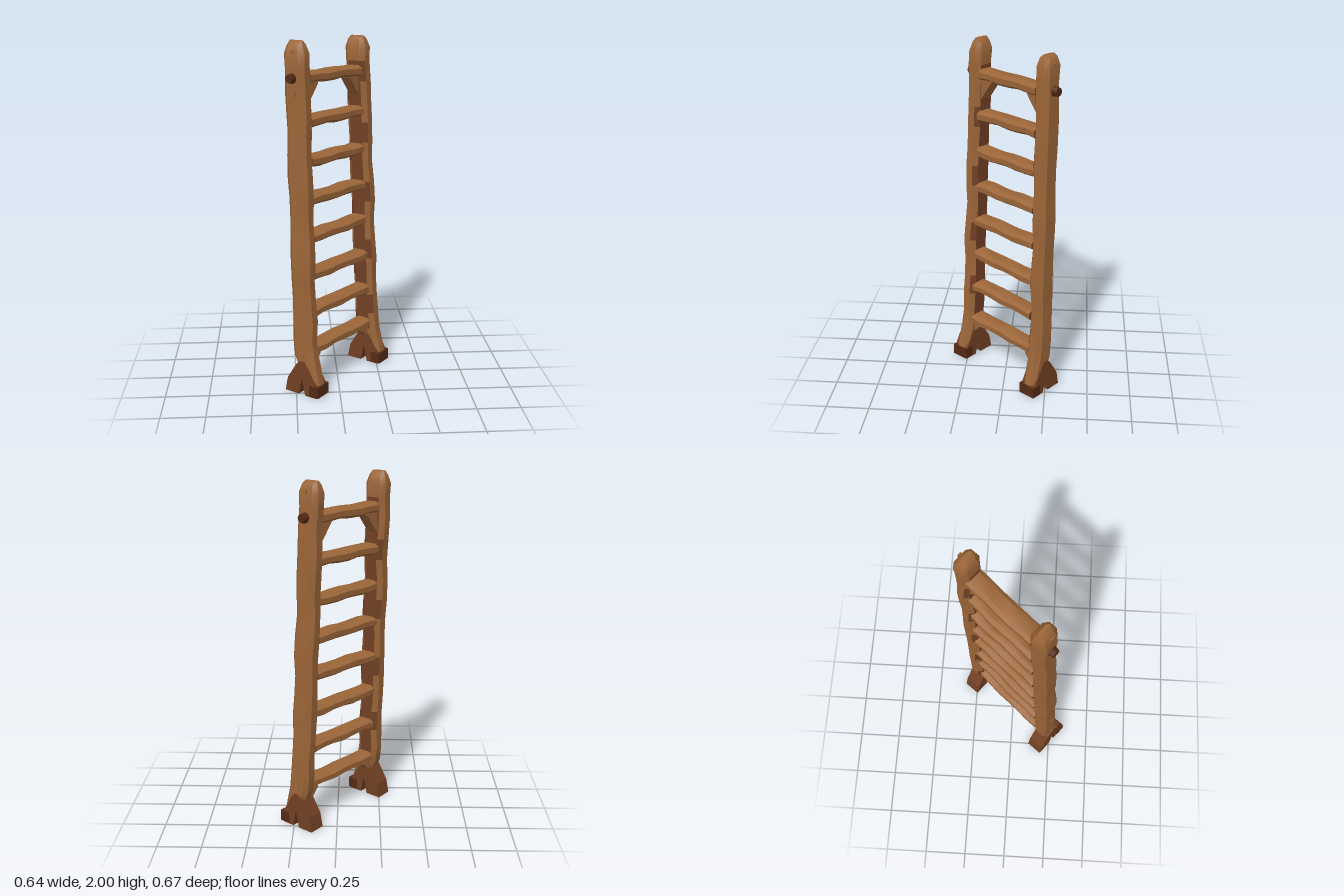
import * as THREE from 'three';
import { toCreasedNormals } from 'three/addons/utils/BufferGeometryUtils.js';

const mat = (name, color) => Object.assign(new THREE.MeshStandardMaterial({ color }), { name });

// chamfered rectangle, corners as fractions of the half sizes
const SECTION = [[1, -0.6], [1, 0.6], [0.5, 1], [-0.5, 1], [-1, 0.6], [-1, -0.6], [-0.5, -1], [0.5, -1]];

// Timber along y from rings [y, cx, cz, halfX, halfZ]; pick(face, ring) gives the material slot
function timber(rings, pick) {
  const n = SECTION.length;
  const slots = [[], []];
  const pts = rings.map(([y, cx, cz, hx, hz]) =>
    SECTION.map(([a, b]) => new THREE.Vector3(cx + a * hx, y, cz + b * hz)));
  const add = (slot, ...vs) => vs.forEach((v) => slots[slot].push(v.x, v.y, v.z));
  for (let i = 0; i < rings.length - 1; i++) {
    for (let j = 0; j < n; j++) {
      const k = (j + 1) % n;
      const slot = pick(j, i);
      add(slot, pts[i][j], pts[i + 1][j], pts[i][k]);
      add(slot, pts[i + 1][j], pts[i + 1][k], pts[i][k]);
    }
  }
  const last = pts[pts.length - 1];
  for (let j = 1; j < n - 1; j++) {
    add(pick(-1, 0), pts[0][0], pts[0][j], pts[0][j + 1]);
    add(pick(-1, 1), last[0], last[j + 1], last[j]);
  }
  const geo = new THREE.BufferGeometry();
  geo.setAttribute('position', new THREE.Float32BufferAttribute([...slots[0], ...slots[1]], 3));
  geo.addGroup(0, slots[0].length / 3, 0);
  geo.addGroup(slots[0].length / 3, slots[1].length / 3, 1);
  return toCreasedNormals(geo, 0.6);
}

// flat shape given by points, extruded and centred on its thickness
function plate(points, depth) {
  const shape = new THREE.Shape(points.map(([x, y]) => new THREE.Vector2(x, y)));
  return new THREE.ExtrudeGeometry(shape, { depth, bevelEnabled: false }).translate(0, 0, -depth / 2);
}

export function createModel() {
  const wood = mat('wood', 0x9c6639);
  const darkWood = mat('dark wood', 0x724024);
  const peg = mat('peg brown', 0x552a16);

  const model = new THREE.Group();
  const ladder = new THREE.Group();
  ladder.name = 'ladder';
  ladder.rotation.y = THREE.MathUtils.degToRad(48);
  model.add(ladder);

  const add = (parent, name, geo, material, x = 0, y = 0, z = 0) => {
    const m = new THREE.Mesh(geo, material);
    m.name = name;
    m.position.set(x, y, z);
    parent.add(m);
    return m;
  };

  // the ladder leans back and narrows slightly toward the top
  const lean = (y) => 0.012 - 0.036 * y;
  const postX = (y) => 0.297 - 0.017 * y;

  for (const s of [-1, 1]) {
    const side = new THREE.Group();
    side.name = s > 0 ? 'leftSide' : 'rightSide';
    side.position.x = s * 0.28;
    side.rotation.y = THREE.MathUtils.degToRad(4);
    ladder.add(side);
    const px = (y) => s * (postX(y) - 0.28);

    // post: splayed toe, wavering shaft, pointed top
    const rings = [
      [0.06, px(0), 0.07, 0.04, 0.048],
      [0.13, px(0.1), 0.045, 0.044, 0.058],
      [0.22, px(0.2), 0.012, 0.046, 0.069],
    ];
    for (let i = 0; i < 14; i++) {
      const y = 0.32 + i * 0.118;
      const w = Math.sin(i * 2.1 + s);
      rings.push([y, px(y) + 0.003 * Math.sin(i * 1.3), lean(y) + 0.003 * w, 0.046 + 0.003 * w, 0.066 + 0.003 * Math.cos(i * 1.7 + s)]);
    }
    rings.push(
      [1.93, px(1.93), lean(1.93), 0.046, 0.068],
      [1.975, px(1.97), lean(1.97), 0.032, 0.052],
      [s < 0 ? 2.0 : 1.993, px(2), lean(2), 0.01, 0.04]);
    const inner = s > 0 ? 4 : 0;
    const ragged = [(inner + 1) % 8, (inner + 7) % 8];
    // dark, ragged inner face
    const pick = (face, i) => {
      if (i < 2 || i > 15) return 0;
      return face === inner || (ragged.includes(face) && (i * 5 + face) % 3 === 0) ? 1 : 0;
    };
    add(side, 'post', timber(rings, pick), [wood, darkWood]);

    // forked foot with a toe block
    const fork = plate([[-0.118, 0], [-0.022, 0], [0, 0.1], [0.022, 0], [0.1, 0], [0.095, 0.07],
      [0.04, 0.17], [0.015, 0.205], [-0.015, 0.205], [-0.04, 0.18], [-0.1, 0.085]], 0.1);
    add(side, 'forkedFoot', fork.rotateY(-Math.PI / 2), darkWood, px(0), 0, 0.012);
    add(side, 'toeBlock', new THREE.BoxGeometry(0.106, 0.065, 0.062), peg, px(0), 0.0375, 0.096);

    // peg through the top of the post
    const head = new THREE.CylinderGeometry(0.024, 0.03, 0.035, 8).rotateZ(-s * Math.PI / 2);
    add(side, 'peg', head, peg, px(1.8) + s * 0.06, 1.805, lean(1.8));

    // small nail heads on the outer face
    for (const y of [0.24, 0.48, 1.72, 1.94]) {
      add(side, 'nailHead', new THREE.BoxGeometry(0.008, 0.022, 0.022), wood, px(y) + s * 0.046, y, lean(y) + 0.005);
    }

    // corner braces below the top and bottom rungs
    for (const [y, w, h] of [[1.785, 0.085, 0.14], [0.235, 0.05, 0.085]]) {
      const pts = [[0.01 * s, 0], [-w * s, 0], [-w * s, -0.02], [0.01 * s, -h]];
      if (s < 0) pts.reverse();
      add(ladder, 'brace', plate(pts, 0.07), wood, s * (postX(y) - 0.04), y, lean(y));
    }
  }

  // rungs: chamfered planks, each bent a little differently
  [0.255, 0.48, 0.695, 0.915, 1.13, 1.345, 1.565, 1.8].forEach((y, r) => {
    const half = postX(y) - 0.042;
    const rings = [];
    for (let i = 0; i <= 6; i++) {
      const t = i / 3 - 1;
      const w = Math.sin(i * 1.9 + r * 2.3);
      rings.push([t * half, 0.003 * w, 0.002 * Math.cos(i + r), 0.03 + 0.002 * Math.cos(i * 2 + r), 0.054 + 0.002 * w]);
    }
    const geo = timber(rings, (face) => (face < 0 ? 1 : 0)).rotateZ(-Math.PI / 2);
    add(ladder, 'rung', geo, [wood, darkWood], 0, y, lean(y));
  });

  return model;
}
